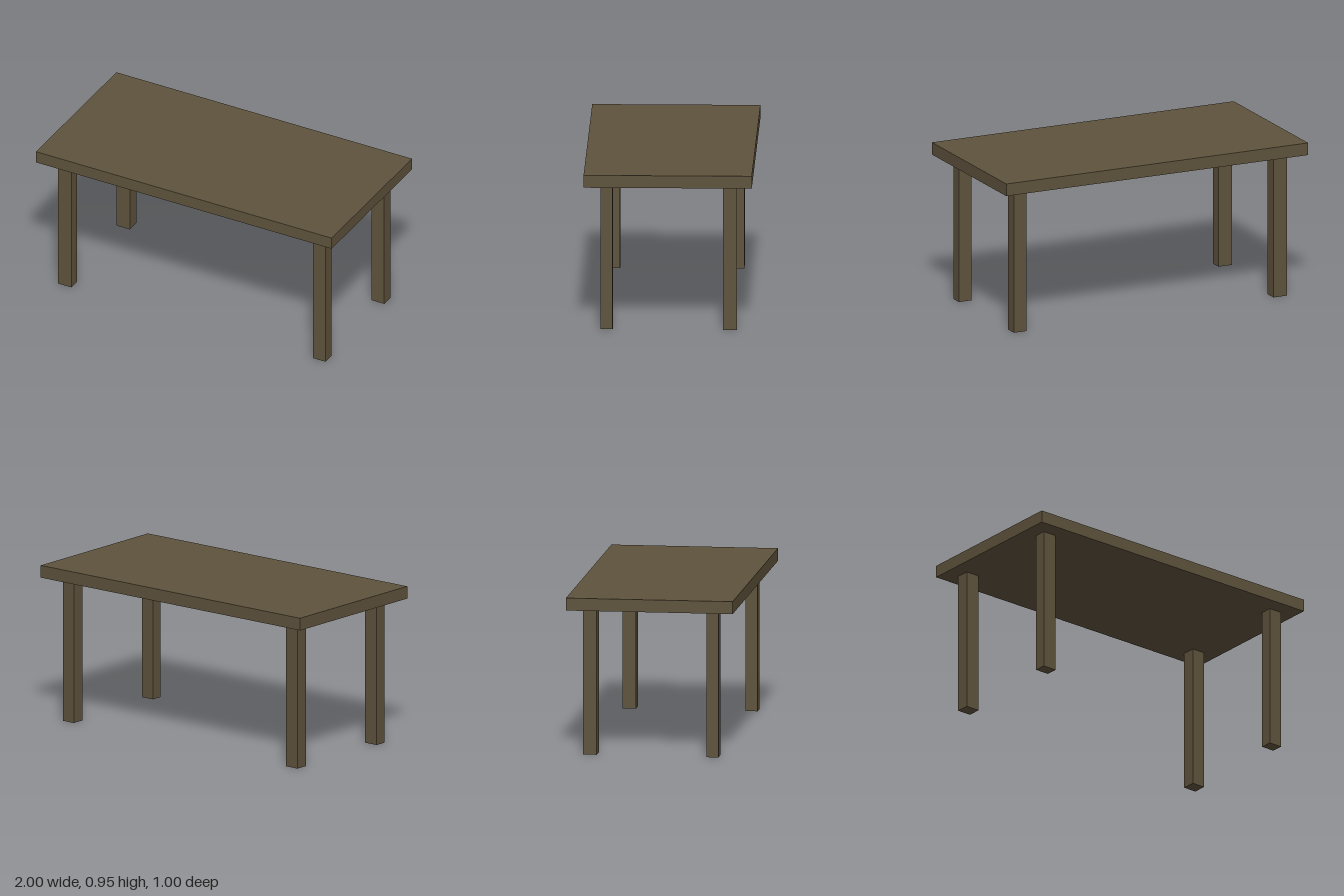
import * as THREE from 'three';

const wood = new THREE.MeshStandardMaterial({ color: 0x5e523c });

// Box given by its extents along each axis
function block(name, [x0, x1], [y0, y1], [z0, z1]) {
  const mesh = new THREE.Mesh(new THREE.BoxGeometry(x1 - x0, y1 - y0, z1 - z0), wood);
  mesh.position.set((x0 + x1) / 2, (y0 + y1) / 2, (z0 + z1) / 2);
  mesh.name = name;
  return mesh;
}

export function createModel() {
  const table = new THREE.Group();
  table.name = 'table';
  const underside = 0.88;

  // Flat rectangular top
  table.add(block('tableTop', [-1, 1], [underside, 0.955], [-0.5, 0.5]));

  // Four square legs, the pairs differing slightly in thickness
  const sides = { Right: [-0.905, -0.815], Left: [0.82, 0.905] };
  const ends = { front: [0.329, 0.401], back: [-0.409, -0.328] };
  for (const [end, z] of Object.entries(ends)) {
    for (const [side, x] of Object.entries(sides)) {
      table.add(block(`${end}${side}Leg`, x, [0, underside], z));
    }
  }
  return table;
}
